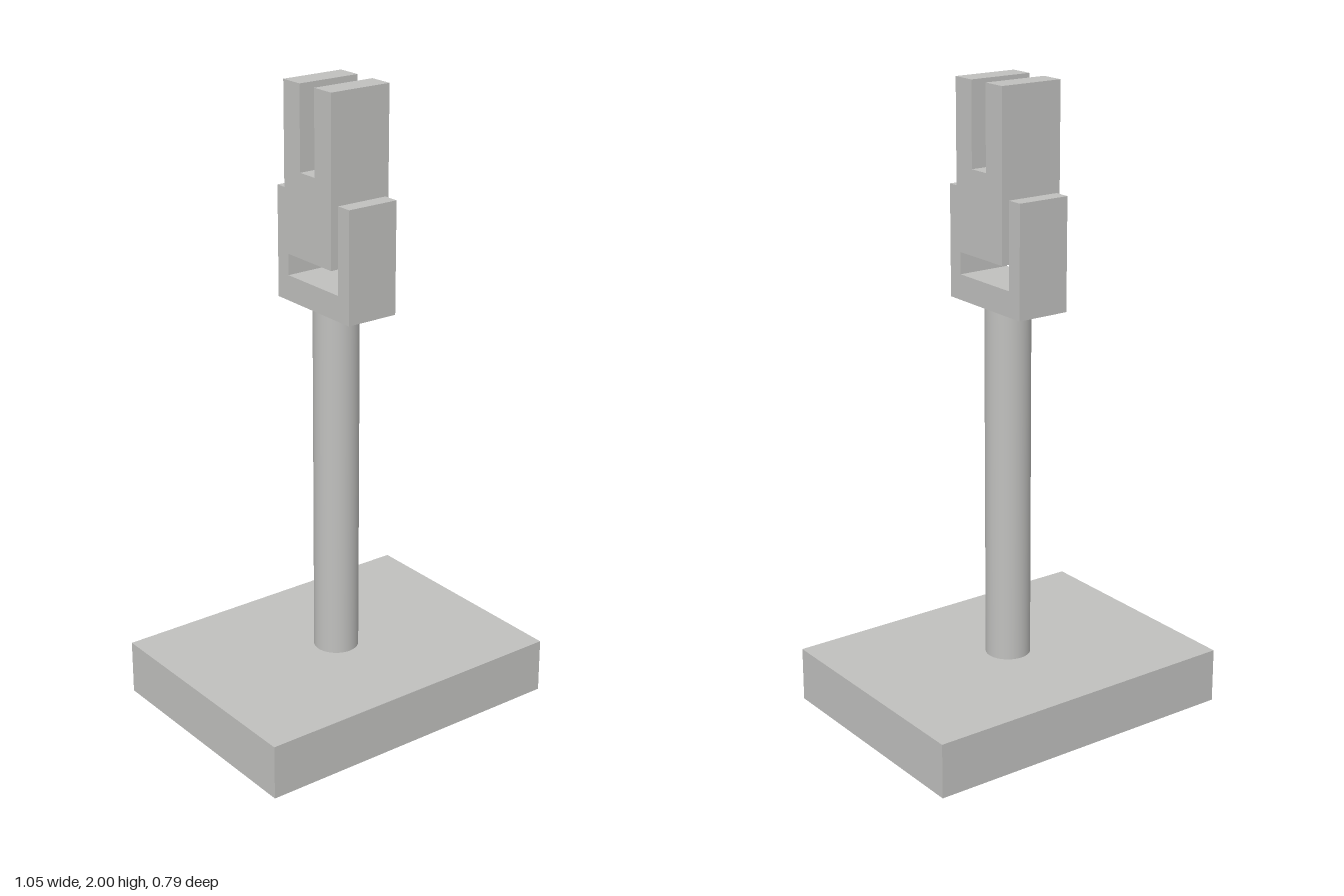
import * as THREE from 'three';

const grey = new THREE.MeshStandardMaterial({ color: 0xc0c0be });
grey.name = 'light grey';

function addMesh(group, name, geometry, y = 0) {
  const mesh = new THREE.Mesh(geometry, grey);
  mesh.name = name;
  mesh.position.y = y;
  group.add(mesh);
}

// U-shaped profile in the z-y plane, extruded along x and centred
function slottedBlock(width, outer, inner, bottom, floor, top) {
  const shape = new THREE.Shape([
    [-outer, bottom], [outer, bottom], [outer, top], [inner, top],
    [inner, floor], [-inner, floor], [-inner, top], [-outer, top],
  ].map(([z, y]) => new THREE.Vector2(z, y)));
  return new THREE.ExtrudeGeometry(shape, { depth: width, bevelEnabled: false })
    .translate(0, 0, -width / 2)
    .rotateY(Math.PI / 2);
}

export function createModel() {
  const model = new THREE.Group();
  model.name = 'clevisStand';

  // Heavy base plate and round column
  addMesh(model, 'basePlate', new THREE.BoxGeometry(1.053, 0.175, 0.788), 0.0875);
  addMesh(model, 'post', new THREE.CylinderGeometry(0.071, 0.071, 1.145, 48), 0.7475);

  // Fork on the column, with a narrower slotted head held between its arms
  addMesh(model, 'fork', slottedBlock(0.173, 0.175, 0.123, 1.32, 1.4, 1.67));
  addMesh(model, 'slottedHead', slottedBlock(0.21, 0.114, 0.035, 1.477, 1.738, 2));

  return model;
}
